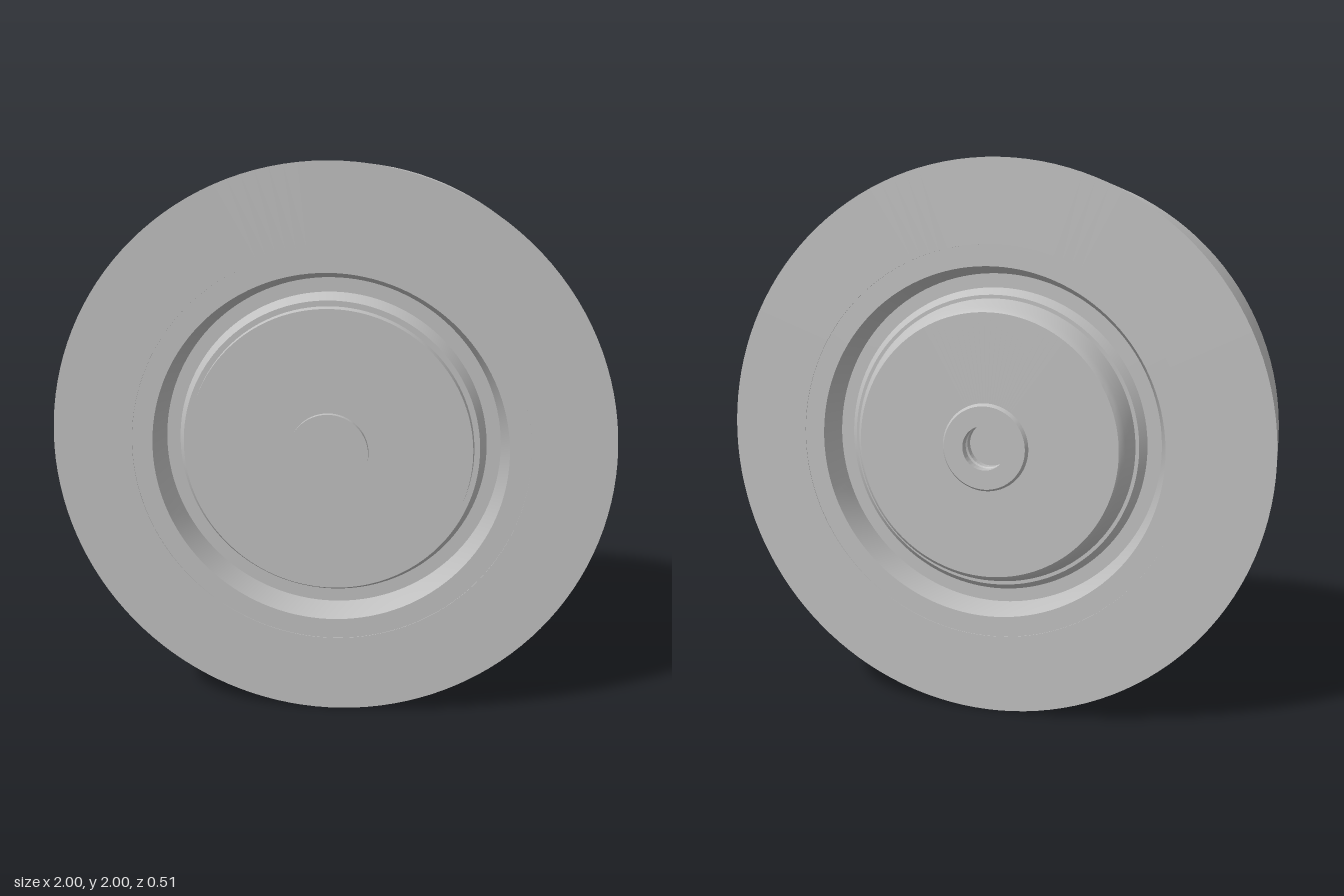
import * as THREE from 'three';
import { toCreasedNormals } from 'three/addons/utils/BufferGeometryUtils.js';

const metal = new THREE.MeshStandardMaterial({ color: 0xc0c0c0 });
metal.name = 'plain grey';

// Revolve a [radius, z] profile about the z axis, keeping hard edges crisp.
function turned(name, profile) {
  const points = profile.map(([r, z]) => new THREE.Vector2(r, z));
  const geometry = new THREE.LatheGeometry(points, 128).rotateX(Math.PI / 2);
  const mesh = new THREE.Mesh(toCreasedNormals(geometry, 0.42), metal);
  mesh.name = name;
  return mesh;
}

export function createModel() {
  const wheel = new THREE.Group();
  wheel.name = 'wheel';

  // Flat-sided solid tread
  const tread = turned('tread', [
    [0.71, -0.225], [1, -0.225], [1, 0.255], [0.71, 0.255], [0.71, -0.225],
  ]);

  // Rim with a tapered bore on both sides, set a hair below the tread faces
  const rim = turned('rim', [
    [0.61, -0.12], [0.635, -0.223], [0.712, -0.223],
    [0.712, 0.253], [0.635, 0.253], [0.61, 0.145], [0.61, -0.12],
  ]);

  // Centre disc: rounded shoulder at the back, stepped shoulder at the front
  const disc = turned('centreDisc', [
    [0.08, -0.24], [0.478, -0.24], [0.487, -0.232], [0.497, -0.215],
    [0.51, -0.185], [0.522, -0.15], [0.535, -0.15], [0.56, -0.12], [0.63, -0.12],
    [0.63, 0.145], [0.56, 0.145], [0.535, 0.195], [0.515, 0.195],
    [0.51, 0.228], [0, 0.228],
  ]);

  // Back hub with a blind, grooved axle hole
  const hub = turned('backHub', [
    [0, -0.165], [0.08, -0.165], [0.08, -0.195], [0.088, -0.2], [0.088, -0.212],
    [0.08, -0.217], [0.08, -0.255], [0.15, -0.255], [0.16, -0.238],
  ]);

  // Low round cap on the front
  const cap = turned('frontCap', [[0.142, 0.22], [0.142, 0.25], [0, 0.25]]);

  wheel.add(tread, rim, disc, hub, cap);
  wheel.position.y = 1;

  const model = new THREE.Group();
  model.add(wheel);
  return model;
}
